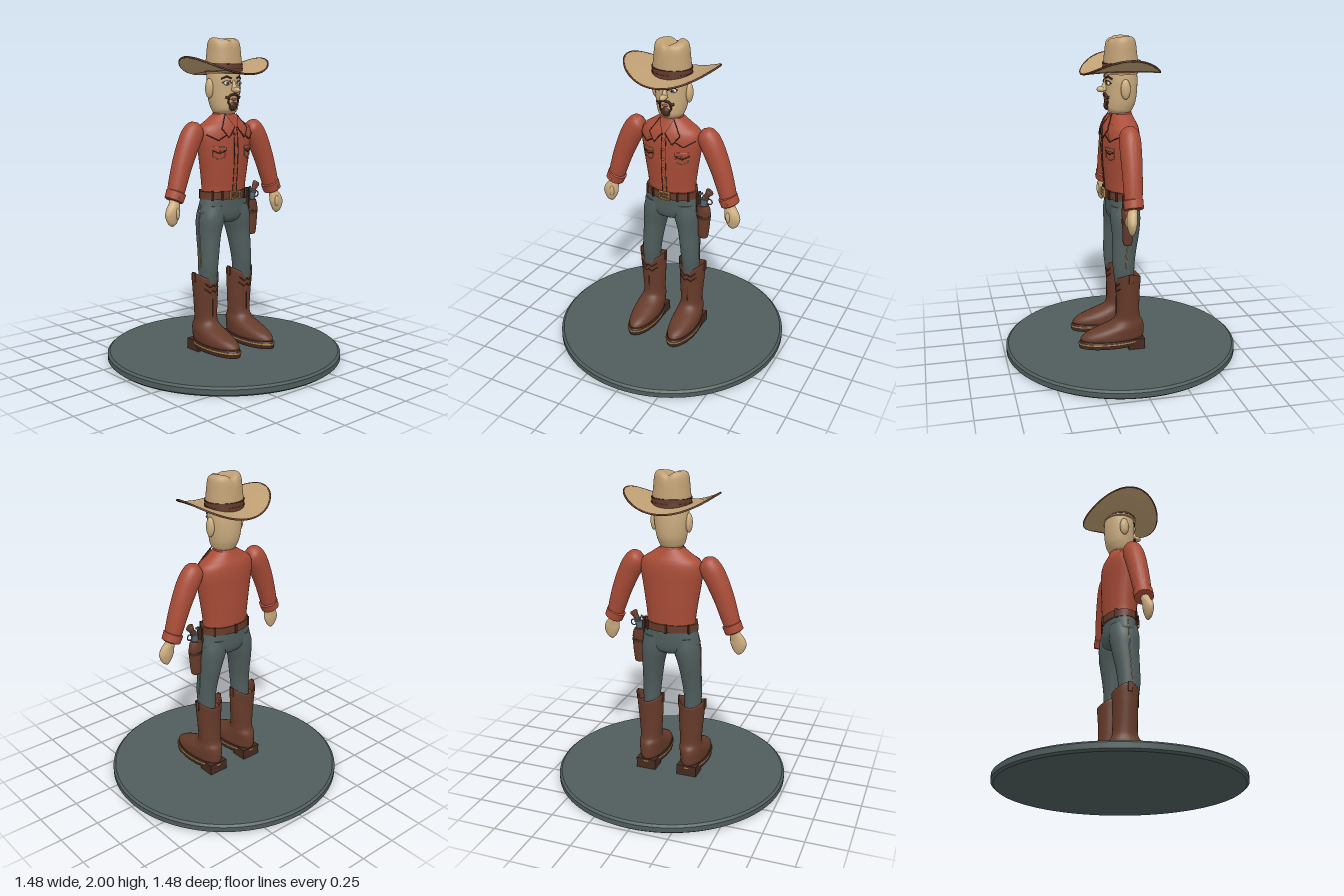
import * as THREE from 'three';
import { mergeVertices, toCreasedNormals } from 'three/addons/utils/BufferGeometryUtils.js';

const mat = (name, color) => {
  const m = new THREE.MeshStandardMaterial({ color, side: THREE.DoubleSide });
  m.name = name;
  return m;
};
const V = (x, y, z) => new THREE.Vector3(x, y, z);

// Rows are [cx, cy, cz, rx, rz, tilt], listed bottom to top
function dense(rows, steps = 5) {
  if (steps === 1) return rows;
  const a = new THREE.CatmullRomCurve3(rows.map(r => V(r[0], r[1], r[2])), false, 'catmullrom', 0.5);
  const b = new THREE.CatmullRomCurve3(rows.map(r => V(r[3], r[4], r[5] || 0)), false, 'catmullrom', 0.5);
  const n = (rows.length - 1) * steps;
  return Array.from({ length: n + 1 }, (_, i) => [...a.getPoint(i / n).toArray(), ...b.getPoint(i / n).toArray()]);
}

// Skin elliptical cross-sections, closing both ends
function loft(rows, steps = 5, seg = 36, rule) {
  const d = dense(rows, steps), pos = [], idx = [], last = d.length - 1;
  for (const [cx, cy, cz, rx, rz, t = 0] of d) for (let j = 0; j < seg; j++) {
    const a = j / seg * Math.PI * 2, u = Math.cos(a) * rx;
    const p = V(cx + u * Math.cos(t), cy + u * Math.sin(t), cz + Math.sin(a) * rz);
    if (rule) rule(p, a);
    pos.push(p.x, p.y, p.z);
  }
  for (let i = 0; i < last; i++) for (let j = 0; j < seg; j++) {
    const k = (j + 1) % seg, a = i * seg + j, b = i * seg + k;
    idx.push(a, a + seg, b, b, a + seg, b + seg);
  }
  for (const [i, up] of [[0, false], [last, true]]) {
    const c = pos.length / 3, p = V(d[i][0], d[i][1], d[i][2]);
    if (rule) rule(p, Math.PI / 4);
    pos.push(p.x, p.y, p.z);
    for (let j = 0; j < seg; j++) {
      const a = i * seg + j, b = i * seg + (j + 1) % seg;
      idx.push(c, up ? b : a, up ? a : b);
    }
  }
  const g = new THREE.BufferGeometry();
  g.setAttribute('position', new THREE.Float32BufferAttribute(pos, 3));
  g.setIndex(idx);
  return toCreasedNormals(g, 0.8);
}

// Front surface of a lofted form: (x, y, offset) -> point
function front(rows) {
  const d = dense(rows);
  return (x, y, off = 0) => {
    let i = 0;
    while (i < d.length - 2 && d[i + 1][1] < y) i++;
    const f = THREE.MathUtils.clamp((y - d[i][1]) / (d[i + 1][1] - d[i][1]), 0, 1);
    const [cx, , cz, rx, rz] = d[i].map((v, k) => v + (d[i + 1][k] - v) * f);
    return V(x, y, cz + rz * Math.sqrt(Math.max(0.03, 1 - ((x - cx) / rx) ** 2)) + off);
  };
}

// Four-cornered cloth patch laid on a surface
function patch(surf, [a, b, c, d], off, n = 8) {
  const g = new THREE.PlaneGeometry(1, 1, n, n), p = g.attributes.position;
  for (let i = 0; i < p.count; i++) {
    const u = p.getX(i) + 0.5, v = 0.5 - p.getY(i);
    const q = k => (a[k] * (1 - u) + b[k] * u) * (1 - v) + (d[k] * (1 - u) + c[k] * u) * v;
    const s = surf(q(0), q(1), off);
    p.setXYZ(i, s.x, s.y, s.z);
  }
  g.computeVertexNormals();
  return g;
}

// Thin cord following a polyline on a surface
function cord(surf, pts, off, r = 0.003) {
  const out = [];
  for (let i = 0; i < pts.length - 1; i++) for (let k = 0; k < 6; k++) {
    const f = k / 6;
    out.push(surf(pts[i][0] * (1 - f) + pts[i + 1][0] * f, pts[i][1] * (1 - f) + pts[i + 1][1] * f, off));
  }
  out.push(surf(...pts[pts.length - 1], off));
  return tube(out, r);
}
const tube = (pts, r, closed = false) =>
  new THREE.TubeGeometry(new THREE.CatmullRomCurve3(pts, closed), pts.length * 3, r, 6, closed);

export function createModel() {
  const root = new THREE.Group();
  root.name = 'cowboyFigure';
  const shirt = mat('shirtRed', 0xa94c37), slate = mat('slate', 0x4f5d5c), felt = mat('hatFelt', 0xc0a074);
  const skin = mat('skin', 0xcdae80), leather = mat('leather', 0x663b2a), dark = mat('darkLeather', 0x452a1f);
  const brass = mat('brass', 0xa9854f), steel = mat('steel', 0x55656f), white = mat('eyeWhite', 0xe4dccb);
  const add = (name, geo, m, x = 0, y = 0, z = 0) => {
    const o = new THREE.Mesh(geo, m);
    o.name = name;
    o.position.set(x, y, z);
    root.add(o);
    return o;
  };
  const ball = (name, m, x, y, z, rx, ry, rz) => add(name, new THREE.SphereGeometry(1, 20, 14).scale(rx, ry, rz), m, x, y, z);
  const box = (name, m, x, y, z, w, h, d) => add(name, new THREE.BoxGeometry(w, h, d), m, x, y, z);
  const flip = (rows, s) => rows.map(([x, y, z, rx, rz, t = 0]) => [x * s, y, z, rx, rz, t * s]);
  const flipPts = (pts, s) => pts.map(([x, y]) => [x * s, y]);

  // Stand
  const disc = [[0, 0], [0.725, 0], [0.74, 0.012], [0.74, 0.044], [0.725, 0.056], [0, 0.056]];
  add('stand', toCreasedNormals(new THREE.LatheGeometry(disc.map(p => new THREE.Vector2(...p)), 96), 0.5), slate);

  // Torso, hips, belt
  const torso = [[0, 1.03, -0.006, 0.158, 0.098], [0, 1.1, -0.006, 0.157, 0.102], [0, 1.2, -0.003, 0.17, 0.108],
    [0, 1.3, -0.001, 0.186, 0.111], [0, 1.4, -0.003, 0.2, 0.11], [0, 1.46, -0.005, 0.185, 0.1],
    [0, 1.5, -0.005, 0.13, 0.082], [0, 1.54, -0.004, 0.072, 0.064]];
  add('shirtBody', loft(torso), shirt);
  add('hips', loft([[0, 0.87, -0.008, 0.07, 0.06], [0, 0.89, -0.008, 0.14, 0.085], [0, 0.93, -0.008, 0.187, 0.096],
    [0, 0.98, -0.008, 0.18, 0.098], [0, 1.04, -0.006, 0.162, 0.098]]), slate);
  add('belt', loft([[0, 1.022, -0.005, 0.172, 0.108], [0, 1.07, -0.005, 0.17, 0.108]], 1, 48), leather);
  for (const a of [0.6, 1.05, 2.09, 2.54, 3.8, 4.71, 5.6]) {
    box('beltLoop', dark, Math.cos(a) * 0.172, 1.046, -0.005 + Math.sin(a) * 0.109, 0.014, 0.058, 0.012)
      .rotation.y = Math.PI / 2 - a;
  }
  for (const s of [-1, 1]) {
    box('buckleSide', brass, s * 0.034, 1.046, 0.109, 0.009, 0.05, 0.014);
    box('buckleBar', brass, 0, 1.046 + s * 0.021, 0.109, 0.07, 0.008, 0.014);
  }
  box('bucklePin', brass, 0.005, 1.046, 0.109, 0.05, 0.006, 0.012);

  // Shirt front
  const chest = front(torso);
  add('placket', patch(chest, [[-0.014, 1.47], [0.014, 1.47], [0.014, 1.07], [-0.014, 1.07]], 0.006, 14), shirt);
  for (const s of [-1, 1]) add('placketSeam', cord(chest, [[s * 0.014, 1.46], [s * 0.014, 1.27], [s * 0.014, 1.075]], 0.006, 0.002), dark);
  for (let i = 0; i < 6; i++) {
    const p = chest(0, 1.11 + i * 0.062, 0.008);
    ball('button', brass, p.x, p.y, p.z, 0.007, 0.007, 0.005);
  }
  add('collarBand', loft([[0, 1.5, -0.004, 0.09, 0.074], [0, 1.53, -0.004, 0.076, 0.069], [0, 1.548, -0.003, 0.07, 0.064]]), shirt);
  for (const s of [-1, 1]) {
    const yoke = flipPts([[0.05, 1.495], [0.165, 1.47], [0.182, 1.42], [0.122, 1.385]], s);
    add('yoke', patch(chest, yoke, 0.007), shirt);
    add('yokePiping', cord(chest, flipPts([[0.182, 1.42], [0.122, 1.385], [0.045, 1.43]], s), 0.008), dark);
    const collar = flipPts([[0.008, 1.465], [0.045, 1.54], [0.1, 1.455], [0.06, 1.4]], s);
    add('collarFlap', patch(chest, collar, 0.018), shirt);
    add('collarEdge', cord(chest, [collar[0], collar[3], collar[2], collar[1]], 0.017), dark);
    const pocket = flipPts([[0.074, 1.345], [0.15, 1.345], [0.146, 1.285], [0.112, 1.268], [0.078, 1.285], [0.074, 1.345]], s);
    add('pocketStitch', cord(chest, pocket, 0.004, 0.0025), brass);
    const flap = flipPts([[0.072, 1.325], [0.112, 1.305], [0.152, 1.325]], s);
    add('pocketFlap', patch(chest, flipPts([[0.072, 1.345], [0.152, 1.345], [0.152, 1.325], [0.072, 1.325]], s), 0.008), shirt);
    add('pocketFlapEdge', cord(chest, flap, 0.007), dark);
    const b = chest(s * 0.112, 1.318, 0.01);
    ball('pocketButton', brass, b.x, b.y, b.z, 0.006, 0.006, 0.005);
  }

  for (const s of [-1, 1]) {
    // Arm, cuff, hand
    add('sleeve', loft(flip([[0.397, 1.05, 0.012, 0.048, 0.05, 0.42], [0.375, 1.12, 0.01, 0.056, 0.055, 0.42],
      [0.335, 1.24, 0.006, 0.063, 0.06, 0.4], [0.288, 1.35, 0.003, 0.069, 0.064, 0.42], [0.25, 1.42, 0, 0.069, 0.063, 0.55],
      [0.22, 1.462, 0, 0.054, 0.05, 0.7], [0.205, 1.485, 0, 0.012, 0.012, 0.75]], s)), shirt);
    add('cuff', loft(flip([[0.404, 1.035, 0.013, 0.05, 0.05, 0.42], [0.402, 1.04, 0.013, 0.058, 0.058, 0.42],
      [0.382, 1.085, 0.012, 0.061, 0.06, 0.42], [0.38, 1.09, 0.012, 0.053, 0.054, 0.42]], s), 1), shirt);
    ball('cuffButton', brass, s * 0.4, 1.06, 0.071, 0.006, 0.006, 0.005);
    add('hand', loft(flip([[0.425, 0.886, 0.028, 0.008, 0.006], [0.427, 0.905, 0.03, 0.03, 0.018], [0.425, 0.95, 0.03, 0.05, 0.028],
      [0.418, 0.99, 0.028, 0.046, 0.03], [0.403, 1.03, 0.02, 0.032, 0.028], [0.395, 1.06, 0.015, 0.03, 0.028]], s)), skin);
    ball('thumb', skin, s * 0.405, 0.965, 0.053, 0.015, 0.035, 0.013);

    // Trouser leg with side seam
    const leg = flip([[0.14, 0.5, 0.005, 0.052, 0.062], [0.138, 0.6, 0.01, 0.058, 0.068], [0.13, 0.7, 0.004, 0.064, 0.075],
      [0.12, 0.8, -0.006, 0.073, 0.084], [0.104, 0.9, -0.008, 0.088, 0.094], [0.09, 0.98, -0.008, 0.08, 0.088]], s);
    add('trouserLeg', loft(leg), slate);
    add('sideSeam', tube([...leg.slice(1, 5).map(r => V(r[0] + s * (r[3] + 0.001), r[1], r[2])), V(s * 0.18, 0.99, -0.008)], 0.003), brass);

    // Boot with scalloped top, sole and heel
    const boot = flip([[0.14, 0.118, 0.085, 0.076, 0.195], [0.14, 0.14, 0.084, 0.083, 0.203], [0.14, 0.17, 0.065, 0.083, 0.185],
      [0.14, 0.2, 0.027, 0.08, 0.146], [0.138, 0.23, -0.008, 0.074, 0.104], [0.137, 0.27, -0.016, 0.069, 0.077],
      [0.138, 0.38, -0.016, 0.077, 0.074], [0.141, 0.48, -0.016, 0.084, 0.077], [0.142, 0.54, -0.016, 0.088, 0.08],
      [0.142, 0.541, -0.016, 0.079, 0.071], [0.142, 0.49, -0.014, 0.07, 0.066]], s);
    add('boot', loft(boot, 5, 40, (p, a) => {
      p.y += 0.019 * Math.cos(2 * a) * THREE.MathUtils.smoothstep(p.y, 0.42, 0.54);
    }), leather);
    for (const e of [-1, 1]) box('bootPull', leather, s * 0.142 + e * 0.088, 0.54, -0.016, 0.008, 0.06, 0.026);
    const shaft = front(boot.slice(0, 9)), at = pts => pts.map(([x, y]) => [s * 0.14 + x, y]);
    for (const y of [0.44, 0.475]) add('bootStitch', cord(shaft, at([[-0.055, y + 0.03], [-0.02, y], [0, y + 0.015], [0.02, y], [0.055, y + 0.03]]), 0.001), dark);
    add('bootSeam', cord(shaft, at([[0, 0.29], [0, 0.4]]), 0.001), dark);
    add('sole', loft(flip([[0.14, 0.08, 0.092, 0.085, 0.205], [0.14, 0.106, 0.092, 0.089, 0.21]], s), 1), dark);
    add('welt', loft(flip([[0.14, 0.106, 0.092, 0.09, 0.211], [0.14, 0.114, 0.092, 0.089, 0.21]], s), 1), brass);
    add('soleTop', loft(flip([[0.14, 0.114, 0.09, 0.086, 0.206], [0.14, 0.125, 0.088, 0.082, 0.2]], s), 1), dark);
    box('heel', dark, s * 0.14, 0.09, -0.063, 0.13, 0.068, 0.105);
  }

  // Holster and revolver
  add('holster', loft([[0.222, 0.765, 0.006, 0.022, 0.02], [0.222, 0.775, 0.006, 0.032, 0.028], [0.226, 0.87, 0.006, 0.039, 0.033],
    [0.222, 0.95, 0.006, 0.045, 0.035], [0.215, 0.99, 0.006, 0.036, 0.034]]), leather);
  add('holsterBand', loft([[0.224, 0.9, 0.006, 0.044, 0.037], [0.223, 0.92, 0.006, 0.046, 0.038]], 1), dark);
  box('holsterStrap', dark, 0.186, 1.0, 0.006, 0.014, 0.13, 0.045);
  const barrel = add('gunCylinder', new THREE.CylinderGeometry(0.022, 0.022, 0.06, 16), steel, 0.225, 1.005, 0.01);
  barrel.rotation.z = -0.1;
  box('gunFrame', steel, 0.235, 1.04, 0.01, 0.034, 0.03, 0.022);
  box('gunHammer', steel, 0.203, 1.062, 0.01, 0.026, 0.012, 0.01).rotation.z = 0.5;
  add('triggerGuard', new THREE.TorusGeometry(0.018, 0.004, 8, 20), steel, 0.262, 1.02, 0.01);
  add('gunGrip', loft([[0.235, 1.04, 0.01, 0.016, 0.014, -0.6], [0.25, 1.068, 0.01, 0.019, 0.016, -0.6],
    [0.262, 1.088, 0.01, 0.026, 0.018, -0.6], [0.267, 1.096, 0.01, 0.02, 0.013, -0.6]]), leather);

  // Head
  const head = [[0, 1.5, -0.004, 0.06, 0.056], [0, 1.54, 0, 0.066, 0.062], [0, 1.565, 0.004, 0.08, 0.08],
    [0, 1.61, -0.002, 0.093, 0.092], [0, 1.68, -0.006, 0.103, 0.097], [0, 1.76, -0.006, 0.107, 0.098], [0, 1.84, -0.006, 0.1, 0.09]];
  add('head', loft(head), skin);
  const face = front(head);
  ball('noseTip', skin, 0, 1.685, 0.115, 0.02, 0.018, 0.03);
  add('noseBridge', loft([[0, 1.68, 0.096, 0.019, 0.03], [0, 1.715, 0.092, 0.012, 0.018], [0, 1.745, 0.086, 0.009, 0.01]]), skin);
  for (const s of [-1, 1]) {
    ball('ear', skin, s * 0.111, 1.695, -0.008, 0.021, 0.06, 0.03);
    const e = face(s * 0.047, 1.727, 0);
    ball('eyeWhite', white, e.x, e.y, e.z, 0.024, 0.014, 0.01);
    ball('iris', steel, e.x, e.y, e.z + 0.007, 0.011, 0.011, 0.006);
    ball('pupil', dark, e.x, e.y, e.z + 0.011, 0.005, 0.005, 0.004);
    add('eyelid', cord(face, flipPts([[0.02, 1.727], [0.035, 1.741], [0.058, 1.741], [0.074, 1.727]], s), 0.006, 0.003), dark);
    add('eyebrow', cord(face, flipPts([[0.02, 1.755], [0.05, 1.767], [0.078, 1.753]], s), 0.003, 0.005), dark);
    add('moustache', cord(face, flipPts([[0, 1.66], [0.025, 1.655], [0.042, 1.638], [0.056, 1.643]], s), 0.006, 0.008), dark);
    add('beardSide', cord(face, flipPts([[0.034, 1.645], [0.036, 1.61], [0.022, 1.585]], s), 0.002, 0.006), dark);
  }
  ball('lips', shirt, 0, 1.63, 0.092, 0.02, 0.008, 0.009);
  ball('goatee', dark, 0, 1.588, 0.081, 0.031, 0.03, 0.021);

  // Hat: curled brim with bound edge, creased crown, band
  const curl = (x, z) => 1.79 + 0.09 * (x / 0.293) ** 2 - 0.01 * (z / 0.238) ** 2;
  const rim = [];
  for (let i = 0; i <= 9; i++) rim.push(new THREE.Vector2(0.3 + 0.07 * i * 10 / 9, -0.005));
  for (let i = 9; i >= 0; i--) rim.push(new THREE.Vector2(0.3 + 0.07 * i * 10 / 9, 0.005));
  let brim = new THREE.LatheGeometry(rim, 72);
  const bp = brim.attributes.position;
  for (let i = 0; i < bp.count; i++) {
    const x = bp.getX(i) * 0.293, z = bp.getZ(i) * 0.238;
    bp.setXYZ(i, x, bp.getY(i) + curl(x, z), z);
  }
  brim.deleteAttribute('uv');
  brim.deleteAttribute('normal');
  brim = toCreasedNormals(mergeVertices(brim), 0.8);
  add('hatBrim', brim, felt);
  const edge = Array.from({ length: 48 }, (_, i) => {
    const x = Math.cos(i / 24 * Math.PI) * 0.292, z = Math.sin(i / 24 * Math.PI) * 0.237;
    return V(x, curl(x, z), z);
  });
  add('brimEdge', tube(edge, 0.006, true), leather);
  add('hatCrown', loft([[0, 1.78, -0.003, 0.12, 0.106], [0, 1.84, -0.003, 0.118, 0.104], [0, 1.9, -0.003, 0.112, 0.098],
    [0, 1.96, -0.003, 0.106, 0.091], [0, 1.988, -0.003, 0.096, 0.081], [0, 2.0, -0.003, 0.075, 0.062],
    [0, 1.997, -0.003, 0.045, 0.036], [0, 1.993, -0.003, 0.008, 0.006]], 5, 56, p => {
    const top = THREE.MathUtils.smoothstep(p.y, 1.9, 1.99);
    const pinch = Math.exp(-(((Math.abs(p.x) - 0.06) / 0.03) ** 2) - ((p.z - 0.06) / 0.035) ** 2);
    p.y -= top * (0.022 * Math.exp(-((p.x / 0.026) ** 2)) + 0.014 * pinch);
  }), felt);
  add('hatBand', loft([[0, 1.79, -0.003, 0.123, 0.109], [0, 1.842, -0.003, 0.121, 0.107]], 1, 48), leather);
  for (const y of [1.815, 1.842]) add('hatBandCord', loft([[0, y - 0.003, -0.003, 0.125, 0.111], [0, y + 0.003, -0.003, 0.1235, 0.1095]], 1, 48), dark);
  return root;
}
